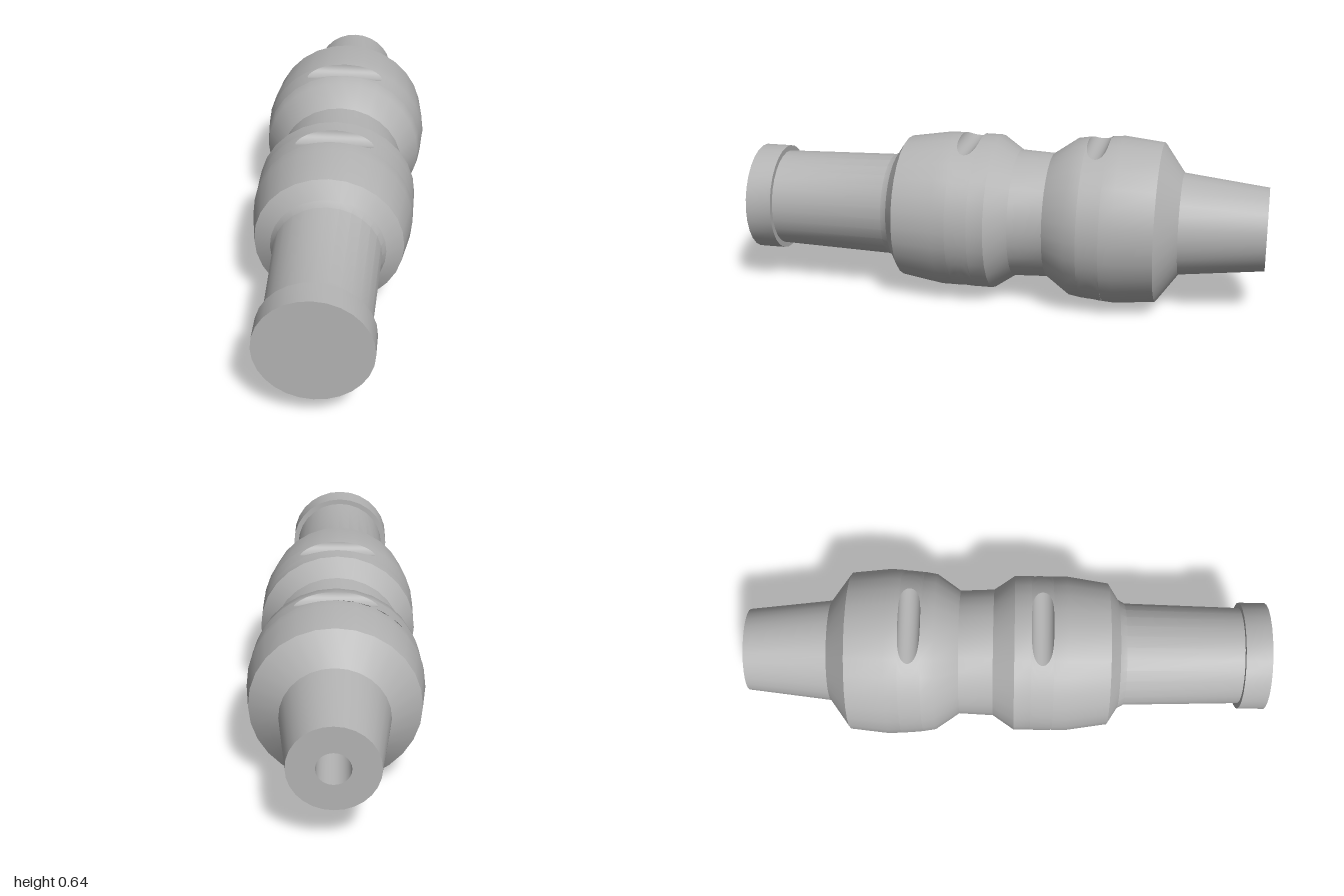
import * as THREE from 'three';
import { toCreasedNormals } from 'three/addons/utils/BufferGeometryUtils.js';

const SIDES = 28;
const AXIS_Y = 0.322;

export function createModel() {
  const model = new THREE.Group();
  const grey = new THREE.MeshStandardMaterial({ color: 0xb4b4b4 });
  grey.name = 'grey';
  const body = new THREE.Group();
  body.name = 'handle';
  body.position.y = AXIS_Y;
  model.add(body);

  function add(name, geometry, parent = body) {
    const mesh = new THREE.Mesh(geometry, grey);
    mesh.name = name;
    parent.add(mesh);
    return mesh;
  }

  // Turned part: [radius, z] pairs, listed from back to front
  function turned(name, points) {
    const g = new THREE.LatheGeometry(points.map(([r, z]) => new THREE.Vector2(r, z)), SIDES);
    g.rotateX(Math.PI / 2);
    add(name, toCreasedNormals(g, 0.5));
  }

  // Grid of points and normals, rows along z and columns around the axis
  function patch(rows, cols, fn) {
    const pos = [], nor = [], index = [];
    for (let i = 0; i <= rows; i++) {
      for (let j = 0; j <= cols; j++) {
        const [p, n] = fn(i / rows, j / cols);
        pos.push(...p);
        nor.push(...n.normalize().toArray());
        if (i < rows && j < cols) {
          const a = i * (cols + 1) + j, b = a + cols + 1;
          index.push(a, b, a + 1, b, b + 1, a + 1);
        }
      }
    }
    const g = new THREE.BufferGeometry();
    g.setAttribute('position', new THREE.Float32BufferAttribute(pos, 3));
    g.setAttribute('normal', new THREE.Float32BufferAttribute(nor, 3));
    g.setIndex(index);
    return g;
  }

  // Band with a round cut straight across its top and its bottom
  function groovedBand(name, zc, r, radiusBack, radiusFront) {
    const cutY = (radiusBack + radiusFront) / 2 + 0.004;
    const slope = (radiusFront - radiusBack) / (2 * r);
    const section = (u) => {
      const dz = -r * Math.cos(Math.PI * u);
      const R = radiusBack + slope * (dz + r);
      const floor = cutY - Math.sqrt(Math.max(0, r * r - dz * dz));
      return { dz, R, floor, edge: floor < R ? Math.acos(floor / R) : 0 };
    };
    const side = patch(24, SIDES / 2, (u, v) => {
      const { dz, R, edge } = section(u);
      const a = edge + v * (Math.PI - 2 * edge);
      const s = Math.sin(a), c = Math.cos(a);
      return [[R * s, R * c, zc + dz], new THREE.Vector3(s, c, -slope)];
    });
    const groove = patch(24, 1, (u, v) => {
      const { dz, R, floor, edge } = section(u);
      const x = R * Math.sin(edge) * (2 * v - 1);
      return [[x, Math.min(floor, R), zc + dz], new THREE.Vector3(0, cutY - floor + 1e-4, -dz)];
    });
    for (const turn of [0, Math.PI]) {
      const half = new THREE.Group();
      half.name = name;
      half.rotation.z = turn;
      add(name + 'Side', side, half);
      add(name + 'Groove', groove, half);
      body.add(half);
    }
  }

  // Tapered tail with a bore in its end
  turned('tail', [[0, -0.6], [0.06, -0.6], [0.06, -1], [0.158, -1], [0.195, -0.68]]);

  // Rear bulge
  turned('rearBulgeBack', [[0.195, -0.68], [0.305, -0.6], [0.321, -0.45], [0.318, -0.402]]);
  groovedBand('rearBand', -0.36, 0.042, 0.318, 0.311);

  // Waist between the bulges
  turned('waist', [[0.311, -0.318], [0.303, -0.27], [0.24, -0.18], [0.246, -0.05],
    [0.3, 0.03], [0.3, 0.093]]);

  // Front bulge
  groovedBand('frontBand', 0.135, 0.042, 0.3, 0.3);
  turned('frontBulgeFront', [[0.3, 0.177], [0.3, 0.23], [0.275, 0.39], [0.212, 0.43]]);

  // Shaft and flat end collar
  turned('frontShaft', [[0.212, 0.43], [0.198, 0.455], [0.186, 0.9]]);
  turned('endCollar', [[0.186, 0.9], [0.207, 0.9], [0.207, 1], [0, 1]]);

  return model;
}
